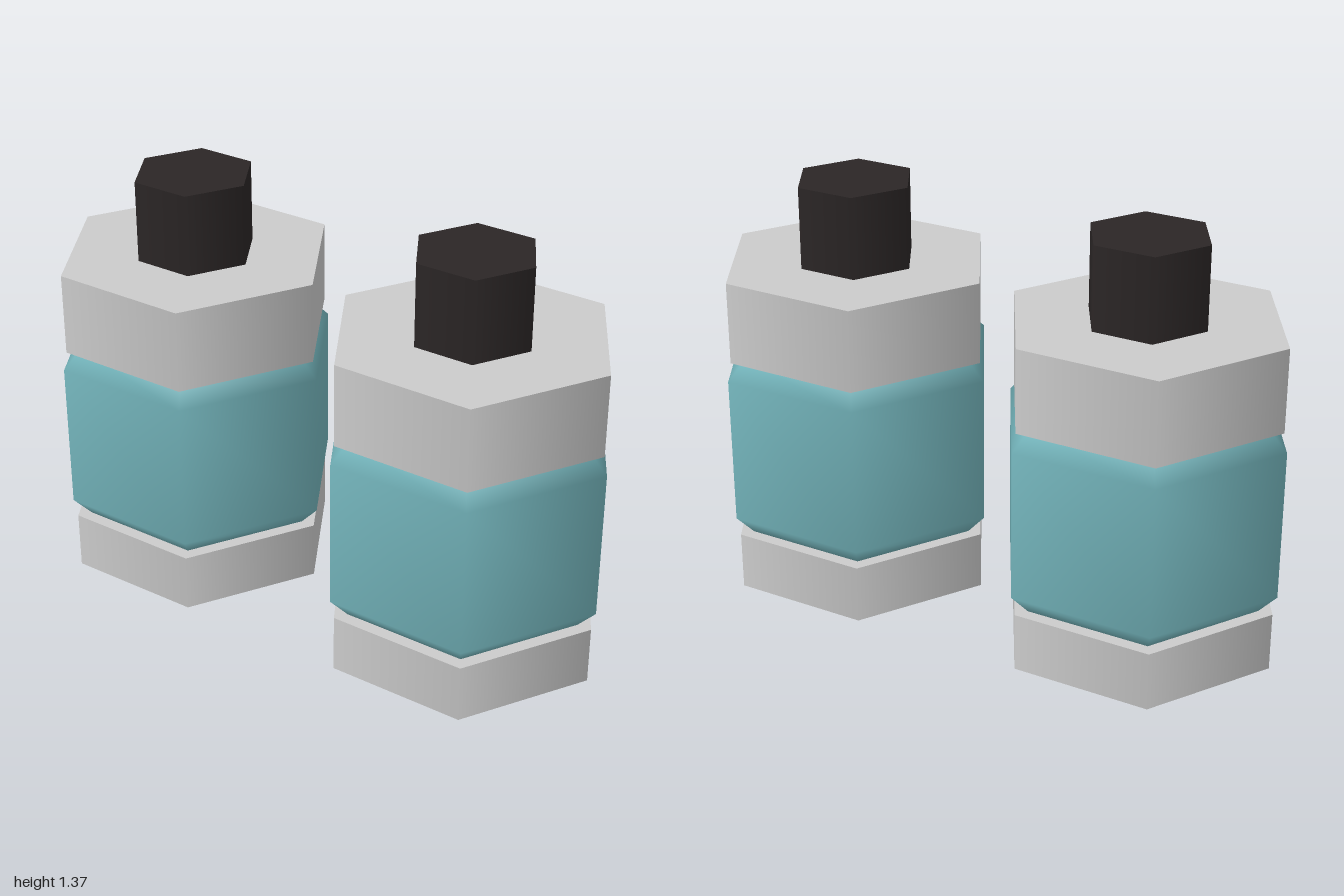
import * as THREE from 'three';

const SIDES = 6;
const START = Math.PI / 2; // puts hexagon corners on the x axis

const grey = new THREE.MeshStandardMaterial({ color: 0xcccccc });
const blue = new THREE.MeshStandardMaterial({ color: 0x74b5bc });
const black = new THREE.MeshStandardMaterial({ color: 0x2b2626 });

// Hexagonal prism between two heights
function prism(name, radius, bottom, top, material) {
  const height = top - bottom;
  const geometry = new THREE.CylinderGeometry(radius, radius, height, SIDES, 1, false, START);
  const mesh = new THREE.Mesh(geometry, material);
  mesh.name = name;
  mesh.position.y = bottom + height / 2;
  return mesh;
}

// Hexagonal body with chamfered shoulders, smooth shaded
function chamferedBody() {
  const profile = [
    [0.415, 0.195], [0.475, 0.26], [0.475, 0.757], [0.415, 0.82],
  ].map(([r, y]) => new THREE.Vector2(r, y));
  const mesh = new THREE.Mesh(new THREE.LatheGeometry(profile, SIDES, START), blue);
  mesh.name = 'body';
  return mesh;
}

function createCanister(name, x) {
  const canister = new THREE.Group();
  canister.name = name;
  canister.add(
    prism('base', 0.4625, 0, 0.195, grey),
    chamferedBody(),
    prism('collar', 0.4625, 0.82, 1.094, grey),
    prism('stopper', 0.2, 1.094, 1.367, black),
  );
  canister.position.x = x;
  return canister;
}

export function createModel() {
  const model = new THREE.Group();
  model.name = 'canisterPair';
  model.add(createCanister('leftCanister', 0.525), createCanister('rightCanister', -0.525));
  return model;
}
